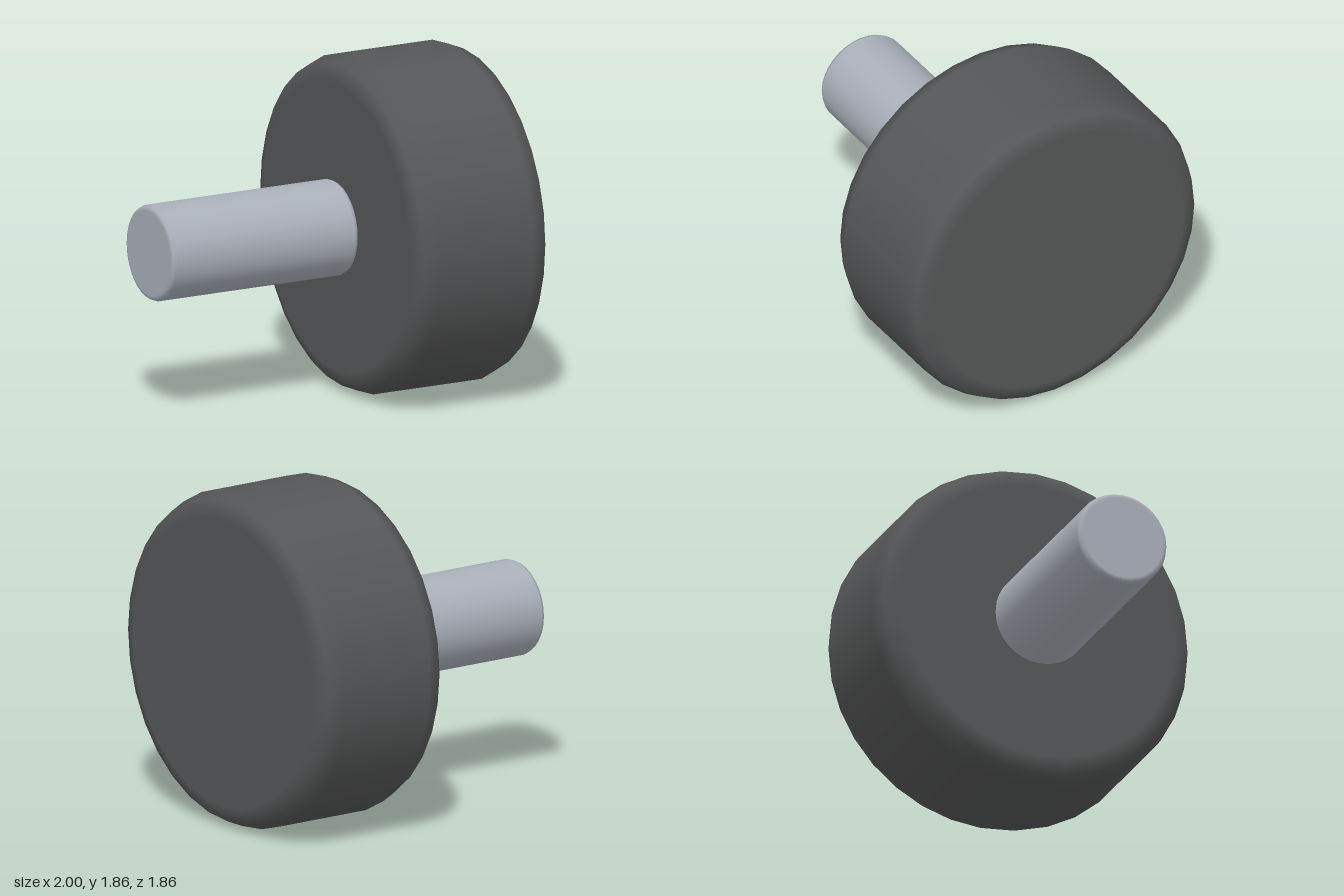
import * as THREE from 'three';

const SIDES = 32;
const AXIS_Y = 0.932;

// Solid disc or rod along x, with both rims rounded in two steps and flat ends.
function roundedCylinder(name, x0, x1, radius, bevel, color) {
  const points = [new THREE.Vector2(0, x0)];
  const tilts = [-Math.PI / 2];
  for (const end of [-1, 1]) {
    const centre = end < 0 ? x0 + bevel : x1 - bevel;
    for (let k = 0; k <= 2; k++) {
      const tilt = (end < 0 ? k - 2 : k) * Math.PI / 4;
      points.push(new THREE.Vector2(radius - bevel + bevel * Math.cos(tilt), centre + bevel * Math.sin(tilt)));
      tilts.push(tilt);
    }
  }
  points.push(new THREE.Vector2(0, x1));
  tilts.push(Math.PI / 2);

  const geometry = new THREE.LatheGeometry(points, SIDES);
  // Exact fillet normals: smooth around the rim, flat across the ends
  const normal = geometry.attributes.normal;
  for (let i = 0; i < normal.count; i++) {
    const tilt = tilts[i % points.length];
    const phi = Math.floor(i / points.length) / SIDES * Math.PI * 2;
    normal.setXYZ(i, Math.sin(phi) * Math.cos(tilt), Math.sin(tilt), Math.cos(phi) * Math.cos(tilt));
  }
  geometry.rotateZ(-Math.PI / 2);

  const mesh = new THREE.Mesh(geometry, new THREE.MeshStandardMaterial({ color }));
  mesh.name = name;
  mesh.position.y = AXIS_Y;
  return mesh;
}

export function createModel() {
  const group = new THREE.Group();
  group.name = 'wheelWithAxle';
  group.add(
    roundedCylinder('wheel', 0.165, 1, 0.932, 0.13, 0x555657),
    roundedCylinder('axle', -1, 0.165, 0.265, 0.03, 0xa9afb8),
  );
  return group;
}
